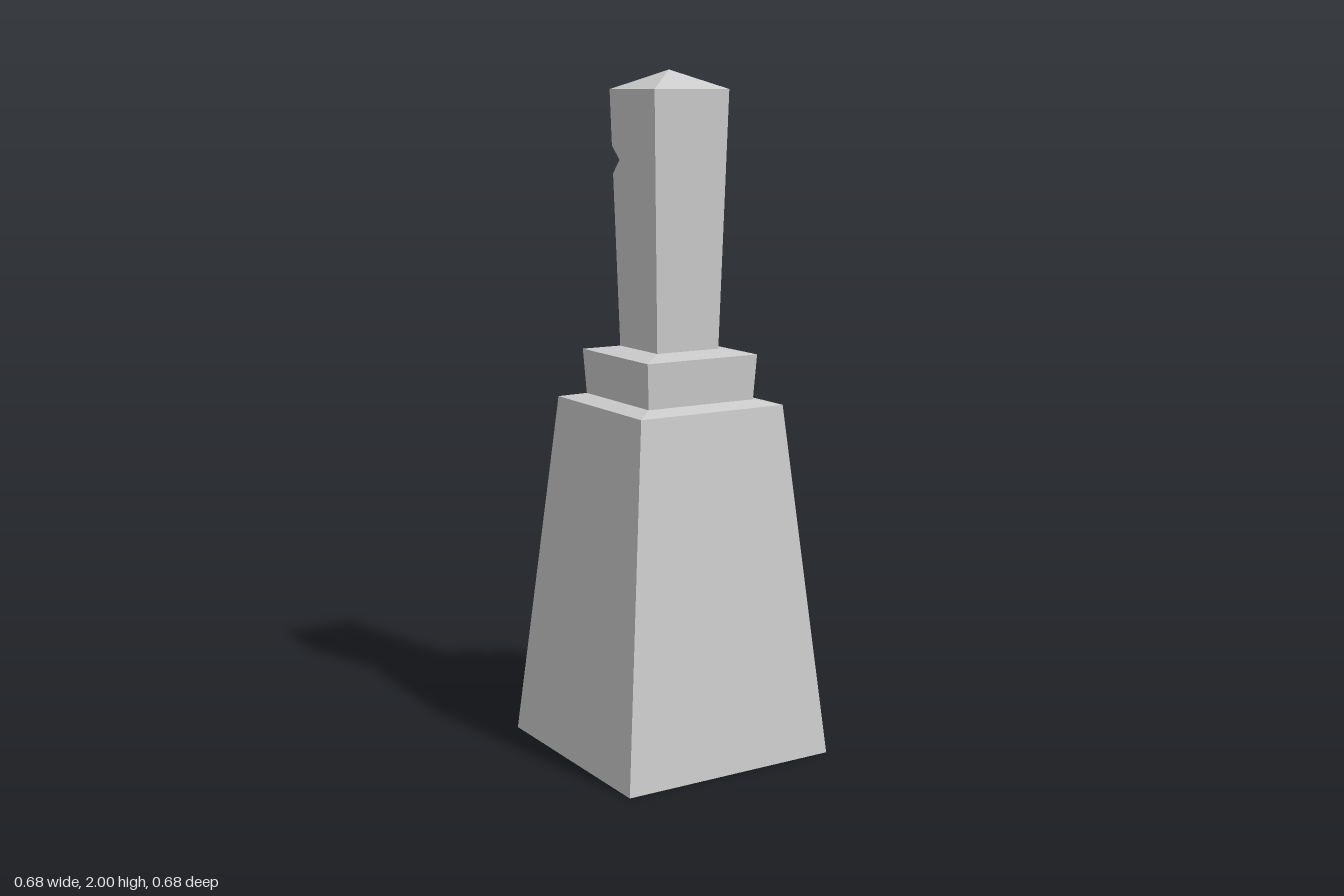
import * as THREE from 'three';

const material = new THREE.MeshStandardMaterial({ color: 0xcccccc, flatShading: true, side: THREE.DoubleSide });

// Square tapered tier: profile of [half width, height], revolved in four sides
function squareTier(name, profile) {
  const points = profile.map(([half, y]) => new THREE.Vector2(half * Math.SQRT2, y));
  const mesh = new THREE.Mesh(new THREE.LatheGeometry(points, 4, Math.PI / 4), material);
  mesh.name = name;
  return mesh;
}

// Flared square shaft with a small V-shaped chip cut into its back corner (-x, -z)
function chippedShaft(bottomHalf, bottomY, topHalf, topY) {
  const halfAt = (y) => bottomHalf + (topHalf - bottomHalf) * (y - bottomY) / (topY - bottomY);
  const signs = [[-1, 1], [1, 1], [1, -1], [-1, -1]];
  const corner = (i, y) => {
    const [sx, sz] = signs[i % 4];
    return [sx * halfAt(y), y, sz * halfAt(y)];
  };
  const positions = [];
  const fan = (...p) => {
    for (let i = 1; i < p.length - 1; i++) positions.push(...p[0], ...p[i], ...p[i + 1]);
  };
  const bottom = (i) => corner(i, bottomY);
  const top = (i) => corner(i, topY);

  // Chip: two points on the corner edge, one on each neighbouring face
  const chipY = 1.745, chipSize = 0.04;
  const upper = corner(3, chipY + chipSize), lower = corner(3, chipY - chipSize);
  const h = halfAt(chipY);
  const onBack = [-h + chipSize, chipY, -h];
  const onSide = [-h, chipY, -h + chipSize];

  // Two whole faces, then the two faces that meet at the chip
  for (const i of [0, 1]) fan(bottom(i), bottom(i + 1), top(i + 1), top(i));
  fan(onBack, upper, top(3), top(2), bottom(2), bottom(3), lower);
  fan(onSide, lower, bottom(3), bottom(0), top(0), top(3), upper);
  fan(upper, onBack, onSide);
  fan(lower, onSide, onBack);

  const geometry = new THREE.BufferGeometry();
  geometry.setAttribute('position', new THREE.Float32BufferAttribute(positions, 3));
  geometry.computeVertexNormals();
  const mesh = new THREE.Mesh(geometry, material);
  mesh.name = 'shaft';
  return mesh;
}

export function createModel() {
  const model = new THREE.Group();
  model.name = 'obelisk';
  model.add(
    // Tapered pedestal, open underneath, with a sloping ledge
    squareTier('pedestal', [[0.34, 0], [0.239, 1.045], [0.177, 1.058]]),
    // Flared collar with a sloping ledge
    squareTier('collar', [[0.177, 1.058], [0.185, 1.19], [0.104, 1.203]]),
    chippedShaft(0.104, 1.203, 0.124, 1.945),
    // Pyramid cap
    squareTier('cap', [[0.124, 1.945], [0, 2]]),
  );
  return model;
}
